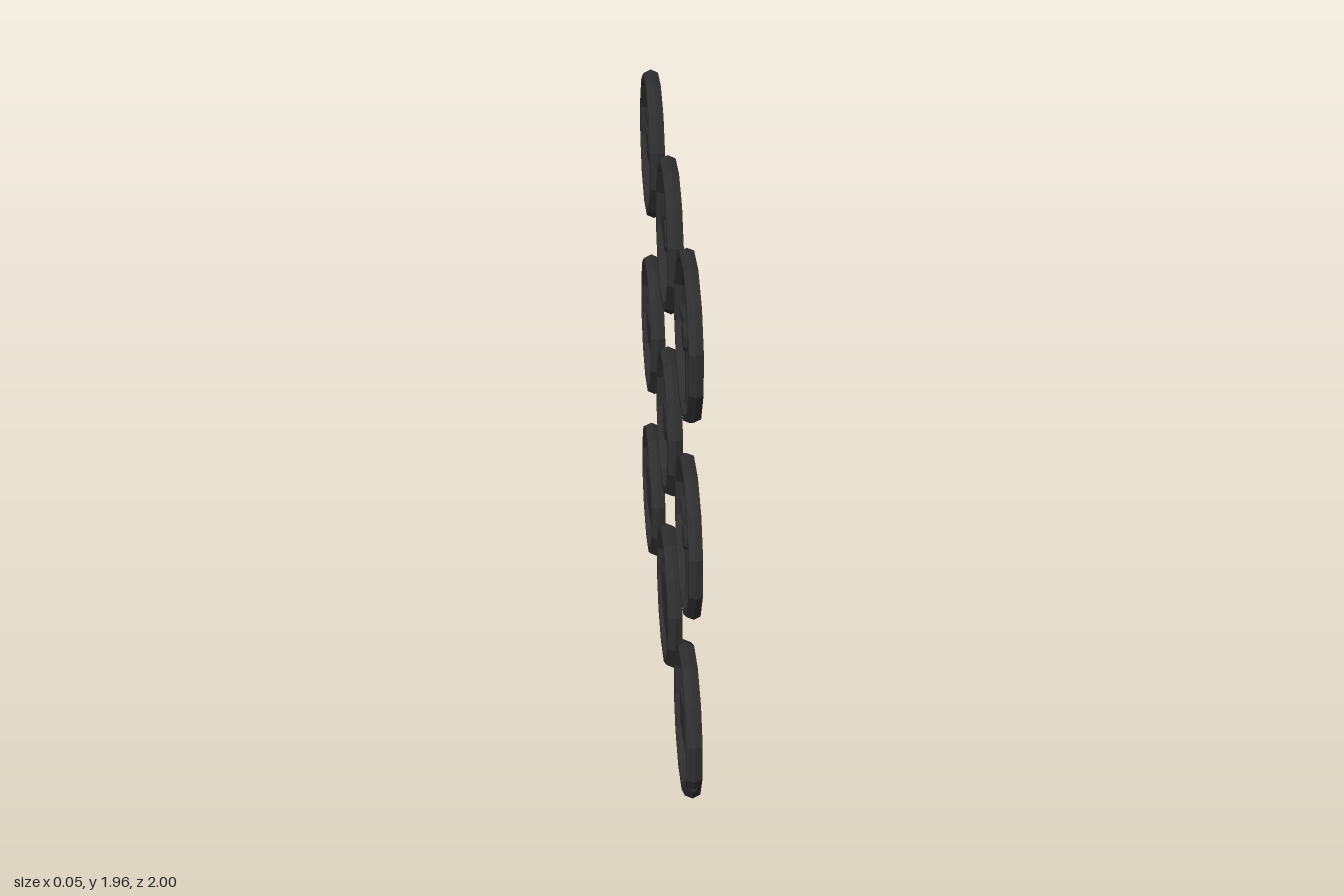
import * as THREE from 'three';

const rubber = new THREE.MeshStandardMaterial({ color: 0x2e2e2e });
rubber.name = 'blackRubber';
rubber.flatShading = true;

const H = Math.PI / 2;
const END = 0.23; // where spokes end inside the rim

// Twelve-sided rim with a hexagonal section; reach is the centre-to-flat distance
function rim(reach, tube, halfDepth) {
  const geo = new THREE.TorusGeometry(reach / Math.cos(Math.PI / 12) - tube, tube, 6, 12);
  geo.rotateZ(Math.PI / 12);
  geo.scale(1, 1, halfDepth / (tube * Math.sin(Math.PI / 3)));
  const mesh = new THREE.Mesh(geo, rubber);
  mesh.name = 'rim';
  return mesh;
}

// Flat plate centred on the wheel plane, with optional bevelled edges
function plate(name, points, halfDepth, bevel = 0) {
  const shape = new THREE.Shape(points.map(([x, y]) => new THREE.Vector2(x, y)));
  const depth = 2 * (halfDepth - bevel);
  const geo = new THREE.ExtrudeGeometry(shape, {
    depth, bevelEnabled: bevel > 0, bevelThickness: bevel, bevelSize: bevel, bevelOffset: -bevel, bevelSegments: 1,
  });
  geo.translate(0, 0, -depth / 2);
  const mesh = new THREE.Mesh(geo, rubber);
  mesh.name = name;
  return mesh;
}

// Completes a right-hand outline into a shape symmetric about x = 0
const mirrored = (half) => [...half, ...half.map(([x, y]) => [-x, y]).reverse()];
const panelHub = (...half) => plate('hub', mirrored(half), 0.018, 0.007);

// Eight-sided hub
function roundHub(radius) {
  const corner = (_, i) => [radius * Math.cos((i + 0.5) * H / 2), radius * Math.sin((i + 0.5) * H / 2)];
  return plate('hub', Array.from({ length: 8 }, corner), 0.018, 0.007);
}

// Crossbar: top and bottom heights at distance x from the middle, then at the rim
const crossbar = (x, top, bottom, rimTop, rimBottom) =>
  plate('crossbar', mirrored([[x, top], [END, rimTop], [END, rimBottom], [x, bottom]]), 0.009);

// Tapered spoke along an angle; half widths and sideways shifts at inner and outer end
function spoke(angle, start, w0, w1, s0 = 0, s1 = 0) {
  const mesh = plate('spoke', [[start, s0 - w0], [END, s1 - w1], [END, s1 + w1], [start, s0 + w0]], 0.009);
  mesh.rotation.z = angle;
  return mesh;
}

// Two legs reaching down to either side
const legs = (angle, start, width) => [-angle, angle - Math.PI].map((a) => spoke(a, start, width, width));

// Wheel turned to face +x; column runs toward -z
function wheel(name, column, y, ring, ...parts) {
  const group = new THREE.Group();
  group.name = name;
  group.add(ring, ...parts);
  group.rotation.y = H;
  group.position.set(0, y, -column);
  return group;
}

const slimRim = () => rim(0.263, 0.0185, 0.022);
const thickRim = () => rim(0.258, 0.024, 0.026);

function topRow() {
  const slim = wheel('slimThreeSpokeWheel', -0.737, 1.69, slimRim(),
    roundHub(0.046), crossbar(0.02, 0.032, -0.028, -0.006, -0.022), spoke(-H, 0, 0.012, 0.016));
  slim.position.x = -0.003;
  return [
    slim,
    wheel('archedTwoSpokeWheel', 0, 1.687, thickRim(),
      roundHub(0.054), crossbar(0.06, 0.046, -0.045, -0.035, -0.081)),
    wheel('teeSpokeWheel', 0.742, 1.705, thickRim(),
      panelHub([0.042, 0.055], [0.064, -0.003], [0.028, -0.06]),
      crossbar(0.05, 0.054, 0.01, 0.054, 0.026), spoke(-H, 0.04, 0.02, 0.03)),
  ];
}

function middleRow() {
  const cross = [0, 1, 2, 3].map((i) => spoke(i * H, 0, 0.015, 0.008));
  const rods = [0, 1, 2].flatMap((i) => [-1, 1].map((side) =>
    spoke(-H + i * Math.PI * 2 / 3, 0.04, 0.006, 0.006, side * 0.021, side * 0.014)));
  return [
    wheel('crossSpokeWheel', -0.737, 0.976, slimRim(), roundHub(0.045), ...cross),
    wheel('twinRodWheel', 0, 0.979, thickRim(),
      panelHub([0.042, 0.064], [0.074, 0.01], [0.062, -0.025], [0.026, -0.064]), ...rods),
    wheel('barAndLegsWheel', 0.742, 0.979, thickRim(),
      panelHub([0.098, 0.042], [0.094, -0.045], [0.08, -0.074]),
      crossbar(0.09, 0.041, 0.009, 0.041, 0.009), ...legs(0.67, 0.06, 0.026)),
  ];
}

function bottomRow() {
  return [
    wheel('boxHubWheel', -0.742, 0.26, thickRim(),
      panelHub([0.078, 0.076], [0.106, -0.079]), crossbar(0.085, -0.012, -0.074, -0.063, -0.128)),
    wheel('wideHubWheel', 0, 0.26, thickRim(),
      panelHub([0.074, 0.089], [0.154, -0.016], [0.064, -0.138]),
      crossbar(0.07, 0.083, -0.03, 0.022, -0.025), spoke(-H, 0.11, 0.058, 0.07)),
    wheel('fourSpokePanelWheel', 0.742, 0.26, thickRim(),
      panelHub([0.135, 0.069], [0.151, 0.045], [0.123, -0.1], [0.09, -0.122]),
      crossbar(0.12, 0.056, 0.012, 0.082, 0.028), ...legs(0.78, 0.1, 0.029)),
  ];
}

export function createModel() {
  const model = new THREE.Group();
  model.name = 'steeringWheelSet';
  model.add(...topRow(), ...middleRow(), ...bottomRow());
  return model;
}
